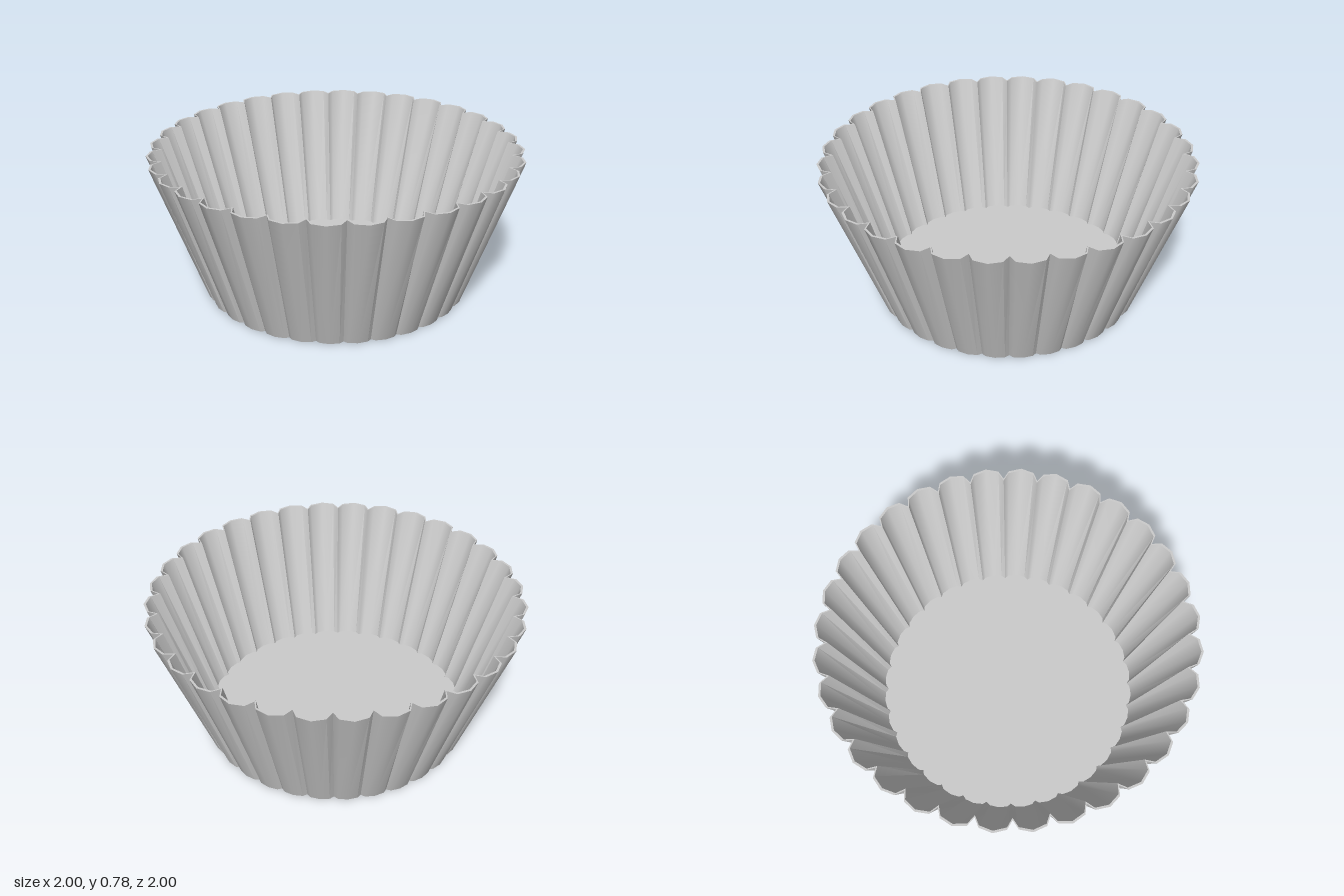
import * as THREE from 'three';
import { toCreasedNormals } from 'three/addons/utils/BufferGeometryUtils.js';

const FLUTES = 32, STEPS = 4, HEIGHT = 0.78, FLOOR = 0.015;

// Closed scalloped ring: each flute is a half ellipse bulging out from the base radius
function flutedRing(y, base, bulge) {
  const points = [];
  const half = Math.PI / FLUTES;
  for (let f = 0; f < FLUTES; f++) {
    for (let s = 0; s < STEPS; s++) {
      const t = (s / STEPS) * Math.PI;
      const angle = half * (2 * f + 1 - Math.cos(t));
      const r = base + bulge * Math.sin(t);
      points.push([r * Math.sin(angle), y, r * Math.cos(angle)]);
    }
  }
  return points;
}

// Skin a list of rings, each running anticlockwise seen from above
function skin(rings) {
  const n = FLUTES * STEPS;
  const index = [];
  for (let k = 0; k < rings.length - 1; k++) {
    for (let i = 0; i < n; i++) {
      const j = (i + 1) % n;
      const a = k * n + i, b = k * n + j, c = a + n, d = b + n;
      index.push(a, b, d, a, d, c);
    }
  }
  const geometry = new THREE.BufferGeometry();
  geometry.setAttribute('position', new THREE.Float32BufferAttribute(rings.flat(2), 3));
  geometry.setIndex(index);
  return toCreasedNormals(geometry, THREE.MathUtils.degToRad(52));
}

// Flat scalloped disc facing up or down
function disc(ring, up) {
  const n = ring.length;
  const index = [];
  for (let i = 0; i < n; i++) {
    const j = (i + 1) % n;
    index.push(n, up ? i : j, up ? j : i);
  }
  const geometry = new THREE.BufferGeometry();
  const points = [...ring, [0, ring[0][1], 0]];
  geometry.setAttribute('position', new THREE.Float32BufferAttribute(points.flat(), 3));
  geometry.setIndex(index);
  geometry.computeVertexNormals();
  return geometry;
}

export function createModel() {
  const group = new THREE.Group();
  group.name = 'flutedBakingCup';
  const material = new THREE.MeshStandardMaterial({ color: 0xcccccc });
  const add = (name, geometry) => {
    const mesh = new THREE.Mesh(geometry, material);
    mesh.name = name;
    group.add(mesh);
  };

  const outerBottom = flutedRing(0, 0.708, 0.024);
  const outerTop = flutedRing(HEIGHT, 0.94, 0.065);
  const innerTop = flutedRing(HEIGHT, 0.928, 0.065);
  const innerBottom = flutedRing(FLOOR, 0.7, 0.023);

  // Pleated wall with its thin rim, then the two faces of the base
  add('flutedWall', skin([outerBottom, outerTop, innerTop, innerBottom]));
  add('innerFloor', disc(innerBottom, true));
  add('underside', disc(outerBottom, false));

  return group;
}
